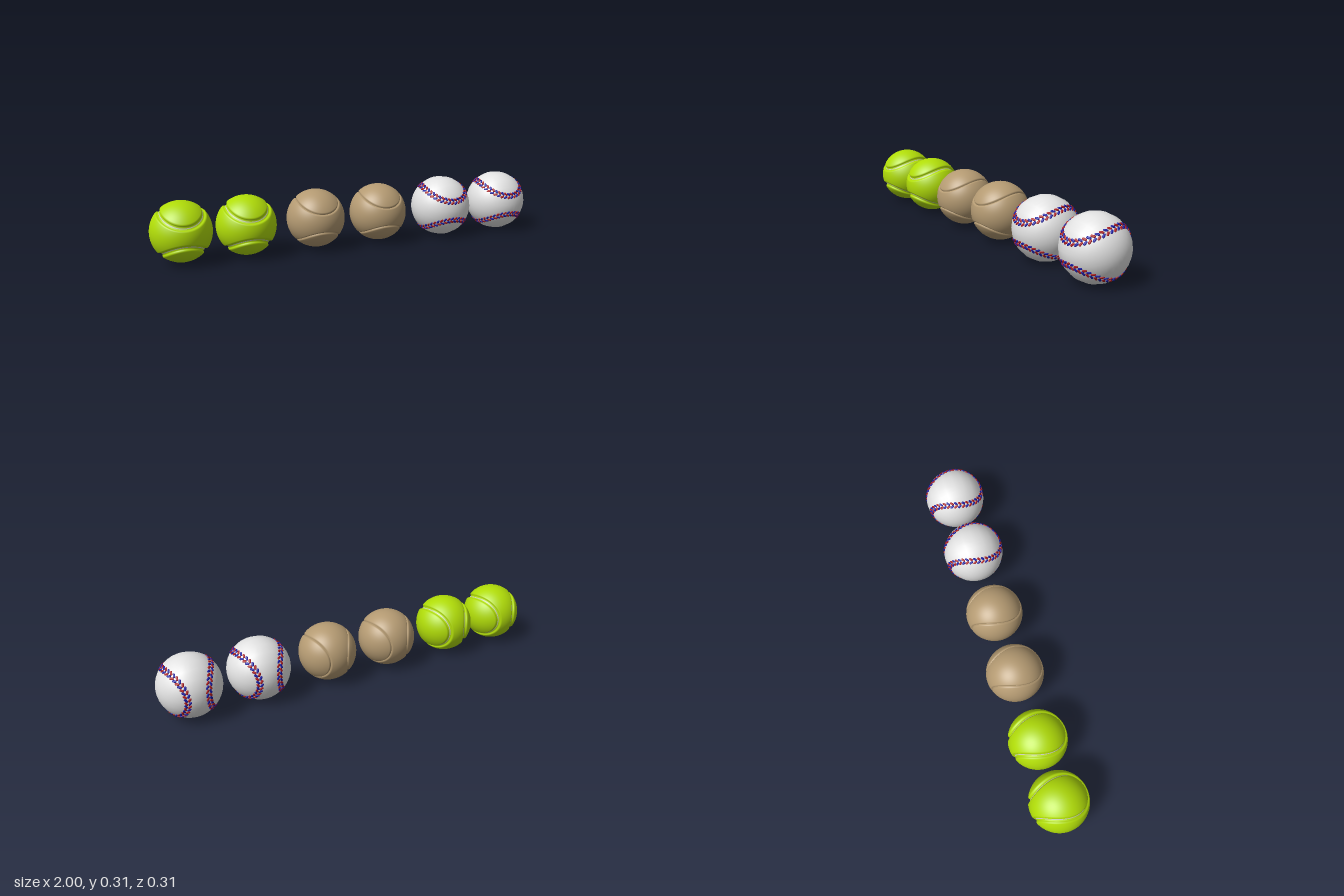
import * as THREE from 'three';
import { mergeGeometries } from 'three/addons/utils/BufferGeometryUtils.js';

const CENTER_Y = 0.155;
const SEGMENTS = 192;

function material(name, color) {
  const m = new THREE.MeshStandardMaterial({ color });
  m.name = name;
  return m;
}

// Closed seam curve on the unit sphere, turned so one panel runs top-back-bottom
function seamPoint(t) {
  const a = 0.66, b = 0.34, c = 2 * Math.sqrt(a * b);
  return new THREE.Vector3(
    a * Math.cos(t) + b * Math.cos(3 * t),
    a * Math.sin(t) - b * Math.sin(3 * t),
    c * Math.sin(2 * t)
  ).applyAxisAngle(new THREE.Vector3(0, 0, 1), Math.PI / 4);
}

// Seam position, direction and the sideways direction into the top panel
function seamFrame(t) {
  const p = seamPoint(t);
  const tangent = seamPoint(t + 0.001).sub(seamPoint(t - 0.001)).normalize();
  const side = tangent.clone().cross(p).normalize();
  return { p, tangent, side };
}

// One dumbbell panel: a rim profile [angle from seam, radius], then rows closing on the spine
function panelGeometry(rim) {
  const inner = 9;
  const radius = rim[rim.length - 1][1];
  const rows = rim.length + inner;
  const pos = [], index = [];
  for (let j = 0; j < rows; j++) {
    const [angle, r] = rim[Math.min(j, rim.length - 1)];
    const f = Math.max(0, j - rim.length + 1) / inner;
    for (let i = 0; i < SEGMENTS; i++) {
      const { p, side } = seamFrame((i / SEGMENTS) * Math.PI * 2);
      const phi = Math.atan2(p.y, -p.z) * 0.6;
      const spine = new THREE.Vector3(0, Math.sin(phi), -Math.cos(phi));
      const v = p.clone().addScaledVector(side, Math.tan(angle)).normalize();
      v.lerp(spine, f).normalize().multiplyScalar(r);
      pos.push(v.x, v.y, v.z);
    }
  }
  for (let j = 0; j < rows - 1; j++) {
    for (let i = 0; i < SEGMENTS; i++) {
      const k = (i + 1) % SEGMENTS;
      const a = j * SEGMENTS + i, b = a + SEGMENTS;
      const c = j * SEGMENTS + k, d = c + SEGMENTS;
      index.push(a, b, c, b, d, c);
    }
  }
  const g = new THREE.BufferGeometry();
  g.setAttribute('position', new THREE.Float32BufferAttribute(pos, 3));
  g.setIndex(index);
  g.computeVertexNormals();
  // Radial normals keep the panel interior perfectly round
  for (let n = (rim.length - 1) * SEGMENTS; n < rows * SEGMENTS; n++) {
    g.attributes.normal.setXYZ(n, pos[3 * n] / radius, pos[3 * n + 1] / radius, pos[3 * n + 2] / radius);
  }
  g.addGroup(0, SEGMENTS * 6, 0);
  g.addGroup(SEGMENTS * 6, index.length - SEGMENTS * 6, 1);
  return g;
}

// Two identical interlocking panels, the second half a turn about the diagonal
function panelBall(name, geometry, materials) {
  const ball = new THREE.Group();
  ball.name = name;
  const top = new THREE.Mesh(geometry, materials);
  top.name = 'topBackPanel';
  const sides = new THREE.Mesh(geometry, materials);
  sides.name = 'sideFrontPanel';
  sides.quaternion.setFromAxisAngle(new THREE.Vector3(1, 1, 0).normalize(), Math.PI);
  ball.add(top, sides);
  return ball;
}

// Slanted stitches on both sides of the seam, colours alternating
function stitchGeometries(radius) {
  const count = 92;
  const sets = [[], []];
  for (let i = 0; i < count; i++) {
    const { p, tangent, side } = seamFrame((i / count) * Math.PI * 2);
    for (const s of [1, -1]) {
      const along = tangent.clone().multiplyScalar(0.8).addScaledVector(side, 0.6 * s).normalize();
      const across = along.clone().cross(p).normalize();
      const center = p.clone().multiplyScalar(radius).addScaledVector(side, s * 0.0085);
      const m = new THREE.Matrix4().makeBasis(along, p, across).setPosition(center);
      const stitch = new THREE.CapsuleGeometry(1, 2, 3, 8).rotateZ(Math.PI / 2).scale(0.0055, 0.0035, 0.0055);
      sets[(i + (s > 0 ? 1 : 0)) % 2].push(stitch.applyMatrix4(m));
    }
  }
  return sets.map((set) => mergeGeometries(set));
}

export function createModel() {
  const lime = material('lime felt', 0xb0dc08);
  const grey = material('pale groove', 0xc4c8bc);
  const tan = material('tan leather', 0xb49a72);
  const white = material('white leather', 0xe2e2e2);
  const red = material('red thread', 0xb01c20);
  const blue = material('blue thread', 0x1a1aa8);

  const model = new THREE.Group();
  model.name = 'ballRow';
  const place = (ball, x) => {
    ball.position.set(x, CENTER_Y, 0);
    model.add(ball);
  };

  // Felt balls with a wide groove and a pale line along its floor
  const felt = panelGeometry([
    [0, 0.135], [0.016, 0.135], [0.06, 0.136], [0.07, 0.139], [0.085, 0.1425], [0.11, 0.1445], [0.14, 0.145],
  ]);
  [-0.856, -0.547].forEach((x, i) => place(panelBall('feltBall' + (i + 1), felt, [grey, lime]), x));

  // Plain leather balls with a fine groove
  const leather = panelGeometry([
    [0, 0.138], [0.012, 0.139], [0.025, 0.1415], [0.045, 0.1432], [0.07, 0.144],
  ]);
  [-0.195, 0.142].forEach((x, i) => place(panelBall('leatherBall' + (i + 1), leather, [tan, tan]), x));

  // Stitched balls
  const core = new THREE.SphereGeometry(0.1535, 20, 20).rotateZ(Math.PI / 2);
  const [redStitches, blueStitches] = stitchGeometries(0.1535);
  [0.506, 0.845].forEach((x, i) => {
    const ball = new THREE.Group();
    ball.name = 'stitchedBall' + (i + 1);
    const parts = [['cover', core, white], ['redStitches', redStitches, red], ['blueStitches', blueStitches, blue]];
    for (const [name, geometry, mat] of parts) {
      const mesh = new THREE.Mesh(geometry, mat);
      mesh.name = name;
      ball.add(mesh);
    }
    place(ball, x);
  });

  return model;
}
